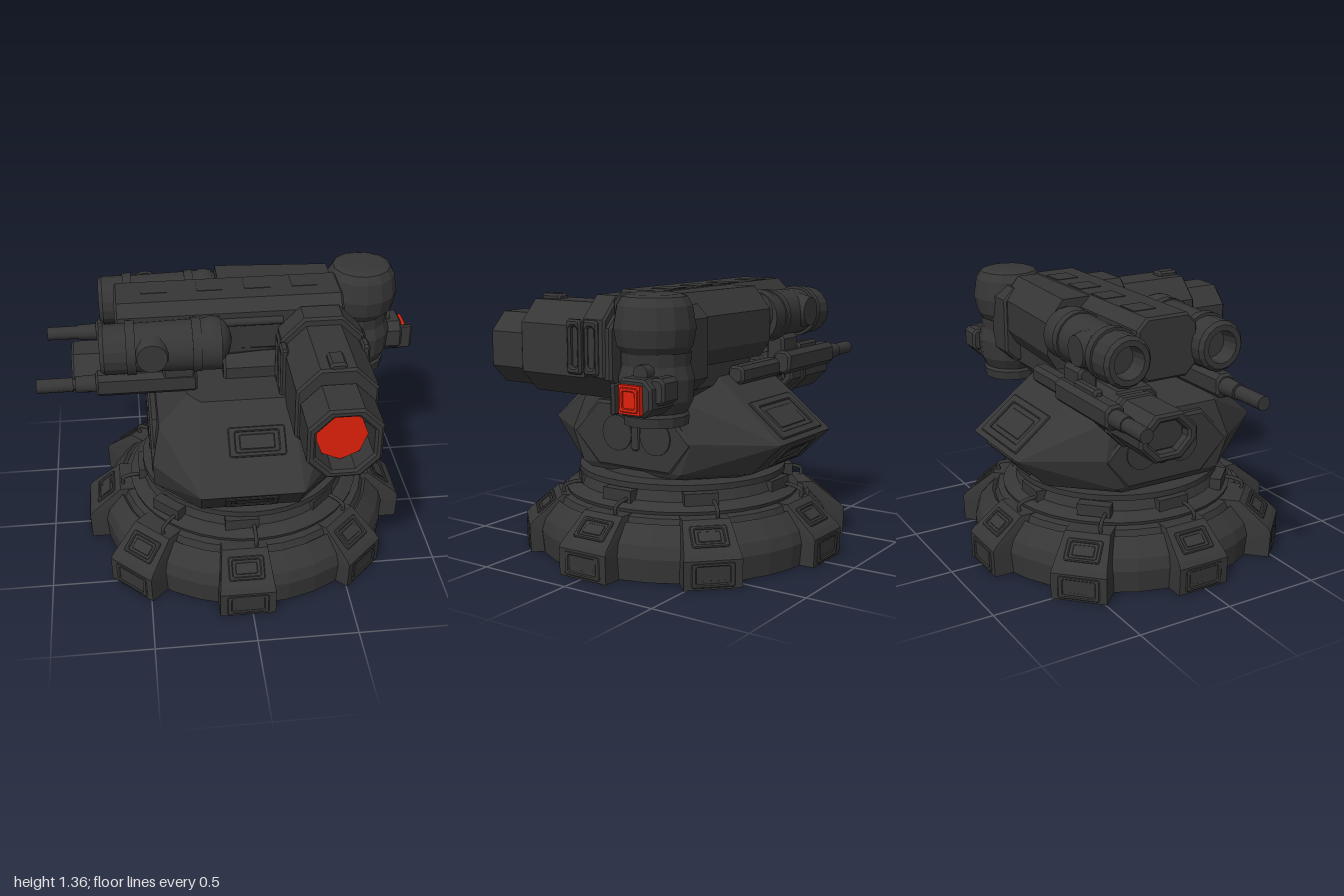
import * as THREE from 'three';
import { ConvexGeometry } from 'three/addons/geometries/ConvexGeometry.js';

function material(name, color) {
  const m = new THREE.MeshStandardMaterial({ color });
  m.name = name;
  return m;
}
const gunmetal = material('gunmetal', 0x363636);
const red = material('red glass', 0xde210b);

function add(parent, name, geo, x = 0, y = 0, z = 0, mat = gunmetal) {
  const m = new THREE.Mesh(geo, mat);
  m.name = name;
  m.position.set(x, y, z);
  parent.add(m);
  return m;
}

function facet(geo) {
  const g = geo.index ? geo.toNonIndexed() : geo;
  g.computeVertexNormals();
  return g;
}

const lathe = (profile, sides) => facet(new THREE.LatheGeometry(profile.map(p => new THREE.Vector2(...p)), sides));

// Rectangle with cut corners
function cutRect(w, h, c, Type = THREE.Shape) {
  const a = w / 2, b = h / 2;
  return new Type([[a, -b + c], [a, b - c], [a - c, b], [-a + c, b], [-a, b - c], [-a, -b + c], [-a + c, -b], [a - c, -b]]
    .map(p => new THREE.Vector2(p[0], p[1])));
}

// Cut-corner bar centred on its position, running along z or x; optional opening [w, h, c]
function bar(parent, name, [x, y, z], w, h, len, c, axis = 'z', hole, mat) {
  const s = cutRect(w, h, c);
  if (hole) s.holes.push(cutRect(...hole, THREE.Path));
  const bevel = Math.min(0.012, len / 4);
  const g = new THREE.ExtrudeGeometry(s, {
    depth: len - 2 * bevel, bevelEnabled: true, bevelSize: bevel, bevelThickness: bevel, bevelOffset: -bevel, bevelSegments: 1,
  });
  g.translate(0, 0, -len / 2 + bevel);
  if (axis === 'x') g.rotateY(Math.PI / 2);
  return add(parent, name, g, x, y, z, mat);
}

function box(parent, name, [x, y, z], w, h, d, mat) {
  return add(parent, name, new THREE.BoxGeometry(w, h, d), x, y, z, mat);
}

// Cylinder along x (first radius at the -x end)
function rod(parent, name, [x, y, z], r1, r2, len, seg = 20) {
  const g = new THREE.CylinderGeometry(r2, r1, len, seg);
  g.rotateZ(-Math.PI / 2);
  return add(parent, name, g, x, y, z);
}

// Raised frame with an inner plate, facing +z
function framedPanel(parent, name, pos, w, h, tilt = 0) {
  const p = new THREE.Group();
  p.name = name;
  p.position.set(...pos);
  p.rotation.x = tilt;
  bar(p, 'panelFrame', [0, 0, 0], w, h, 0.02, 0.008, 'z', [w * 0.76, h * 0.68, 0.006]);
  bar(p, 'panelInset', [0, 0, -0.004], w * 0.62, h * 0.5, 0.016, 0.005);
  parent.add(p);
}

function buildBase() {
  const base = new THREE.Group();
  base.name = 'base';
  base.position.set(0.04, 0, -0.01);
  add(base, 'baseRing', lathe([[0, 0.005], [0.755, 0.005], [0.765, 0.12], [0.745, 0.18], [0.67, 0.265], [0.655, 0.25], [0.64, 0.285], [0.6, 0.295], [0.59, 0.275], [0.5, 0.275]], 32));
  add(base, 'turntable', lathe([[0.6, 0.27], [0.61, 0.31], [0.56, 0.335], [0.54, 0.34], [0.52, 0.39], [0.54, 0.395], [0.54, 0.425], [0.45, 0.43], [0.44, 0.46], [0, 0.46]], 40));
  // Feet start at the front and go round by +x, with slightly uneven spacing
  [-0.065, -0.02, 0.015, 0.02, -0.065, -0.05, -0.01, -0.05].forEach((shift, i) => {
    const lug = new THREE.Group();
    lug.name = 'baseLug' + (i + 1);
    lug.rotation.y = i * Math.PI / 4;
    lug.position.x = shift;
    // Wedge-topped foot, wider at the bottom
    const pts = [];
    for (const s of [-1, 1]) {
      for (const [r, y, w] of [[0.5, 0.005, 0.14], [0.825, 0.005, 0.14], [0.83, 0.145, 0.14], [0.81, 0.17, 0.135], [0.66, 0.293, 0.115], [0.55, 0.293, 0.115]]) {
        pts.push(new THREE.Vector3(s * w, y, r));
      }
    }
    add(lug, 'foot', facet(new ConvexGeometry(pts)));
    framedPanel(lug, 'footPlate', [0, 0.075, 0.823], 0.21, 0.12);
    framedPanel(lug, 'footHatch', [0, 0.23, 0.735], 0.18, 0.12, -0.884);
    base.add(lug);
    // Hoop and rim block on the turntable
    const hoop = new THREE.CatmullRomCurve3([[0.64, 0.28], [0.645, 0.325], [0.6, 0.345], [0.53, 0.35]].map(p => new THREE.Vector3(0.06, p[1], p[0])));
    add(lug, 'hoop', new THREE.TubeGeometry(hoop, 10, 0.01, 6));
    box(lug, 'rimBlock', [0, 0.36, 0.525], 0.17, 0.06, 0.06);
  });
  return base;
}

function buildBody() {
  const body = new THREE.Group();
  body.name = 'body';
  body.position.x = 0.015;
  // Levels: y, half width, front z, back z, half width of end face, half length of side face
  const levels = [
    [0.44, 0.45, 0.38, -0.48, 0.24, 0.26], [0.47, 0.464, 0.53, -0.57, 0.245, 0.3], [0.63, 0.47, 0.66, -0.73, 0.25, 0.36],
    [0.82, 0.43, 0.45, -0.49, 0.24, 0.3], [0.95, 0.28, 0.3, -0.33, 0.22, 0.22]];
  const pts = [];
  for (const [y, w, f, b, e, s] of levels) {
    for (const k of [-1, 1]) {
      pts.push(new THREE.Vector3(k * e, y, f), new THREE.Vector3(k * w, y, s), new THREE.Vector3(k * w, y, -s), new THREE.Vector3(k * e, y, b));
    }
  }
  add(body, 'hull', facet(new ConvexGeometry(pts)));
  framedPanel(body, 'frontHatch', [0.04, 0.81, 0.462], 0.28, 0.15, -0.835);
  framedPanel(body, 'frontGrille', [0, 0.555, 0.6], 0.26, 0.15, 0.68);
  const back = new THREE.Group();
  back.name = 'backPanels';
  back.rotation.y = Math.PI;
  framedPanel(back, 'backHatch', [0, 0.725, 0.61], 0.4, 0.25, -0.9);
  framedPanel(back, 'backGrille', [0, 0.55, 0.652], 0.28, 0.16, 0.785);
  body.add(back);
  // Hexagonal side plates with two round covers
  const hex = [[0.36, 0.62], [0.2, 0.795], [-0.2, 0.795], [-0.37, 0.62], [-0.24, 0.46], [0.2, 0.46]];
  for (const k of [-1, 1]) {
    const shape = new THREE.Shape(hex.map(p => new THREE.Vector2(-p[0], p[1])));
    const g = new THREE.ExtrudeGeometry(shape, { depth: 0.03, bevelSize: 0.015, bevelThickness: 0.012, bevelOffset: -0.015, bevelSegments: 1 });
    g.rotateY(Math.PI / 2);
    add(body, 'sidePlate', g, k * 0.445 - 0.015);
    for (const z of [0.075, -0.155]) rod(body, 'roundCover', [k * 0.467, 0.64, z], 0.09, 0.09, 0.024, 20);
    bar(body, 'sideLatch', [k * 0.467, 0.64, -0.035], 0.05, 0.16, 0.024, 0.012, 'x');
  }
  return body;
}

function buildTurret() {
  const t = new THREE.Group();
  t.name = 'turret';
  bar(t, 'mountBlock', [0.21, 0.95, -0.13], 0.46, 0.24, 0.56, 0.06, 'x');
  bar(t, 'mainArm', [-0.03, 1.2, -0.11], 0.33, 0.31, 1.14, 0.055, 'x');
  // Housing tapers slightly toward the head
  const pts = [];
  for (const [x, b, f] of [[-0.07, -0.465, 0.06], [0.51, -0.425, 0.02]]) {
    for (const [y, inset] of [[1.0, 0.05], [1.08, 0], [1.24, 0], [1.35, 0.09]]) {
      pts.push(new THREE.Vector3(x, y, b + inset), new THREE.Vector3(x, y, f - inset));
    }
  }
  add(t, 'armHousing', facet(new ConvexGeometry(pts)));
  bar(t, 'armCollar', [0.45, 1.08, -0.09], 0.24, 0.53, 0.16, 0.06, 'x');
  rod(t, 'armPipe', [0.03, 1.25, 0.055], 0.022, 0.022, 0.4, 10);
  for (const x of [-0.4, -0.12, 0.12, 0.36]) box(t, 'armTopPlate', [x, 1.352, -0.15], 0.13, 0.012, 0.12);
  return t;
}

// Launch tube with a long gun slung beneath, pointing to -x
function buildGun(name, tubeZ, gunY, gunZ, muzzle, side) {
  const g = new THREE.Group();
  g.name = name;
  rod(g, 'tube', [-0.34, 1.19, tubeZ], 0.118, 0.13, 0.5, 20);
  for (const x of [-0.53, -0.21]) rod(g, 'tubeCollar', [x, 1.19, tubeZ], 0.134, 0.134, 0.045, 20);
  const cap = new THREE.SphereGeometry(0.118, 20, 14);
  cap.scale(0.8, 1, 1);
  add(g, 'tubeEnd', cap, -0.13, 1.21, tubeZ);
  // Open muzzle of the launch tube
  const lip = lathe([[0.125, -0.1], [0.125, 0.04], [0.108, 0.06], [0.08, 0.06], [0.07, -0.06], [0, -0.06]], 16);
  lip.rotateZ(Math.PI / 2);
  add(g, 'tubeMuzzle', lip, -0.62, 1.185, tubeZ);
  const boss = new THREE.CylinderGeometry(0.075, 0.095, 0.07, 14);
  boss.rotateX(side * Math.PI / 2);
  add(g, 'tubeBoss', boss, -0.43, 1.2, tubeZ + side * 0.105);
  bar(g, 'receiver', [-0.46, gunY, gunZ], 0.1, 0.12, 0.5, 0.025, 'x');
  bar(g, 'receiverTop', [-0.46, gunY + 0.06, gunZ], 0.05, 0.06, 0.2, 0.012, 'x');
  rod(g, 'barrelSleeve', [-0.74, gunY, gunZ], 0.04, 0.045, 0.14, 12);
  rod(g, 'barrel', [(muzzle - 0.7) / 2, gunY, gunZ], 0.028, 0.028, -0.7 - muzzle, 12);
  rod(g, 'muzzleSleeve', [muzzle + 0.09, gunY, gunZ], 0.035, 0.035, 0.18, 12);
  bar(g, 'gunBracket', [-0.3, gunY + 0.05, (tubeZ + gunZ) / 2], 0.1, 0.18, 0.16, 0.02, 'x');
  return g;
}

function buildPod() {
  const p = new THREE.Group();
  p.name = 'sidePod';
  bar(p, 'podShell', [-0.63, 0.86, -0.25], 0.31, 0.23, 0.42, 0.085, 'x', [0.21, 0.15, 0.06]);
  bar(p, 'podCore', [-0.6, 0.86, -0.25], 0.22, 0.16, 0.38, 0.05, 'x');
  bar(p, 'podArm', [-0.36, 0.9, -0.22], 0.26, 0.17, 0.26, 0.04, 'x');
  bar(p, 'podBand', [-0.55, 0.86, -0.25], 0.325, 0.245, 0.06, 0.085, 'x');
  bar(p, 'gunStock', [-0.06, 0.925, -0.4], 0.09, 0.09, 0.42, 0.02, 'x');
  return p;
}

function buildCannon() {
  const c = new THREE.Group();
  c.name = 'cannon';
  bar(c, 'cannonHousing', [0.41, 1.045, 0.31], 0.39, 0.47, 0.58, 0.11);
  bar(c, 'cannonCollar', [0.41, 1.07, 0.12], 0.41, 0.5, 0.14, 0.11);
  bar(c, 'cannonNose', [0.41, 1.02, 0.71], 0.35, 0.37, 0.23, 0.095, 'z', [0.27, 0.29, 0.08]);
  const lens = new THREE.CylinderGeometry(0.132, 0.132, 0.008, 8);
  lens.scale(0.95, 1, 1.03);
  lens.rotateX(Math.PI / 2);
  add(c, 'lens', lens, 0.407, 1.015, 0.735, red);
  bar(c, 'topRail', [0.41, 1.28, 0.53], 0.08, 0.05, 0.12, 0.012);
  for (const k of [-1, 1]) {
    for (const z of [0.13, 0.235]) bar(c, 'ventPlate', [0.41 + k * 0.2, 1.07, z], 0.09, 0.27, 0.04, 0.012, 'x', [0.04, 0.2, 0.01]);
  }
  return c;
}

function buildHead() {
  const h = new THREE.Group();
  h.name = 'sensorHead';
  h.position.set(0.695, 0, -0.305);
  add(h, 'dome', lathe([[0, 1.08], [0.15, 1.09], [0.178, 1.13], [0.192, 1.21], [0.175, 1.31], [0.15, 1.35], [0.12, 1.36], [0, 1.362]], 14));
  add(h, 'lowerHead', lathe([[0, 0.76], [0.15, 0.765], [0.155, 0.81], [0.145, 0.825], [0.172, 0.88], [0.178, 0.98], [0.16, 1.04], [0.165, 1.1]], 14), -0.01);
  bar(h, 'neck', [-0.15, 1.1, 0], 0.28, 0.4, 0.18, 0.06, 'x');
  // Eye block: red glass plate behind a front cheek
  bar(h, 'eyeMount', [0.145, 0.92, -0.05], 0.2, 0.17, 0.19, 0.04, 'x');
  box(h, 'eyeGlass', [0.25, 0.915, -0.05], 0.026, 0.13, 0.115, red);
  bar(h, 'eyeFrame', [0.264, 0.915, -0.05], 0.1, 0.11, 0.014, 0.01, 'x', [0.065, 0.075, 0.006], red);
  bar(h, 'eyeCheek', [0.235, 0.915, 0.02], 0.024, 0.14, 0.13, 0.008, 'x');
  rod(h, 'eyeKnob', [0.13, 1.02, -0.05], 0.04, 0.04, 0.1, 10);
  bar(h, 'eyeSideBlock', [0.14, 0.95, -0.15], 0.08, 0.12, 0.12, 0.02, 'x');
  return h;
}

export function createModel() {
  const model = new THREE.Group();
  model.name = 'gunTurret';
  model.add(buildBase(), buildBody(), buildTurret(),
    buildGun('frontGun', 0.145, 1.0, 0.15, -1, 1),
    buildGun('backGun', -0.365, 0.95, -0.455, -0.97, -1),
    buildPod(), buildCannon(), buildHead());
  return model;
}
